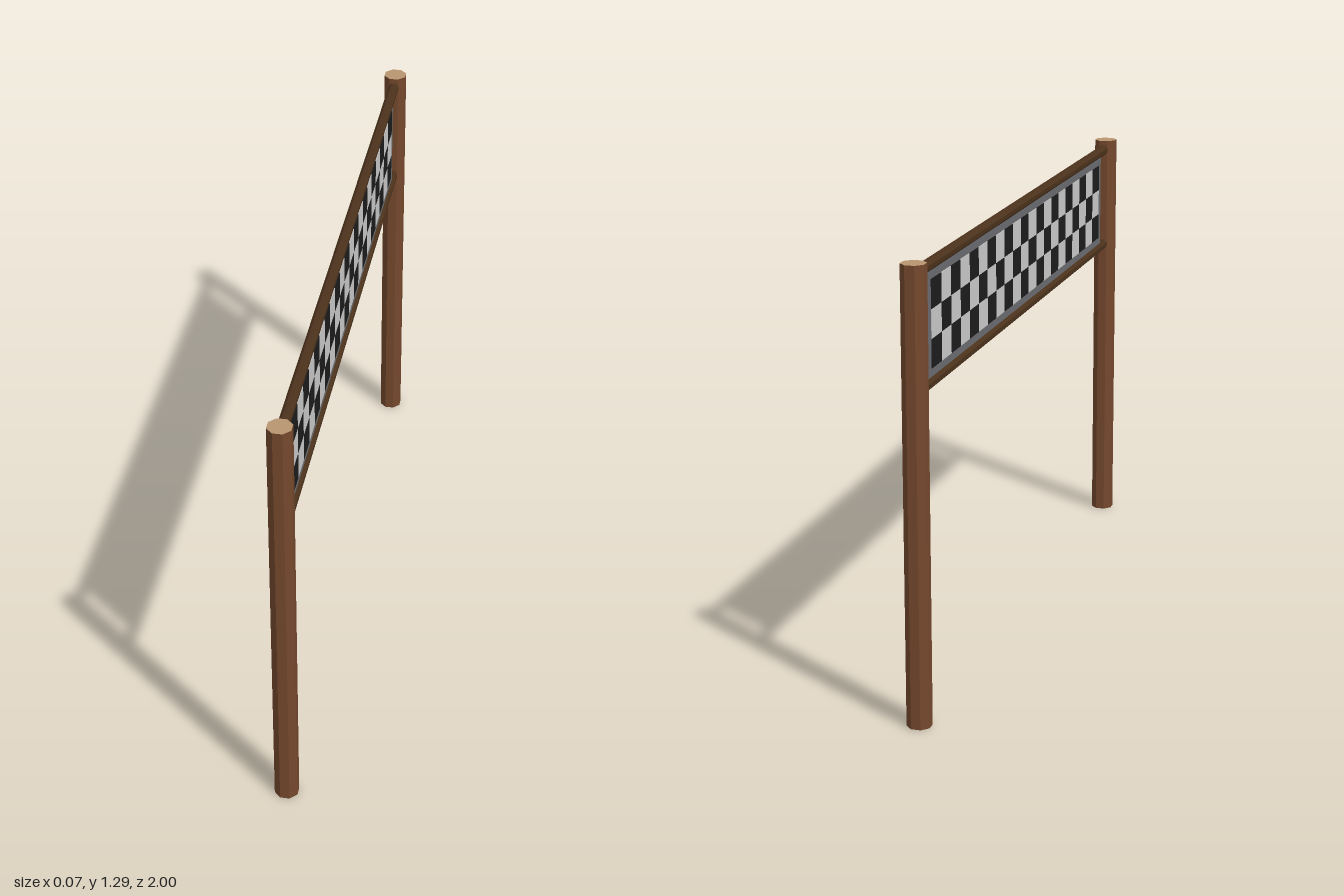
import * as THREE from 'three';
import { mergeGeometries } from 'three/addons/utils/BufferGeometryUtils.js';

const paint = (color) => new THREE.MeshStandardMaterial({ color, flatShading: true });

// Eight-sided log with its flats facing the axes; apothem is half its width
function logGeometry(apothem, length) {
  const radius = apothem / Math.cos(Math.PI / 8);
  return new THREE.CylinderGeometry(radius, radius, length, 8).rotateY(Math.PI / 8);
}

export function createModel() {
  const group = new THREE.Group();
  const bark = paint(0x75482d);
  const cutWood = paint(0xb8956f);
  const railWood = paint(0x4c321c);

  const add = (name, geometry, material, y = 0, z = 0) => {
    const mesh = new THREE.Mesh(geometry, material);
    mesh.name = name;
    mesh.position.set(0, y, z);
    group.add(mesh);
  };

  // Upright posts with pale sawn tops
  const postHeight = 1.29;
  for (const side of [1, -1]) {
    add(side > 0 ? 'frontPost' : 'backPost', logGeometry(0.033, postHeight),
      [bark, cutWood, bark], postHeight / 2, side * 0.967);
  }

  // Rails above and below the banner
  const rail = logGeometry(0.015, 1.9).rotateX(Math.PI / 2);
  add('topRail', rail, railWood, 1.26);
  add('bottomRail', rail, railWood, 0.94);

  // Grey banner backing
  const bannerY = 1.1;
  add('bannerPanel', new THREE.BoxGeometry(0.012, 0.3, 1.76), paint(0x6c6d70), bannerY);

  // Checker squares showing on both faces of the banner
  const columns = 21, rows = 3, size = 0.081;
  const squares = [[], []];
  for (let c = 0; c < columns; c++) {
    for (let r = 0; r < rows; r++) {
      const square = new THREE.BoxGeometry(0.016, size, size);
      square.translate(0, (r - (rows - 1) / 2) * size, (c - (columns - 1) / 2) * size);
      squares[(c + r) % 2].push(square);
    }
  }
  add('darkSquares', mergeGeometries(squares[0]), paint(0x1c1c1c), bannerY);
  add('lightSquares', mergeGeometries(squares[1]), paint(0xc8c8c8), bannerY);

  return group;
}
